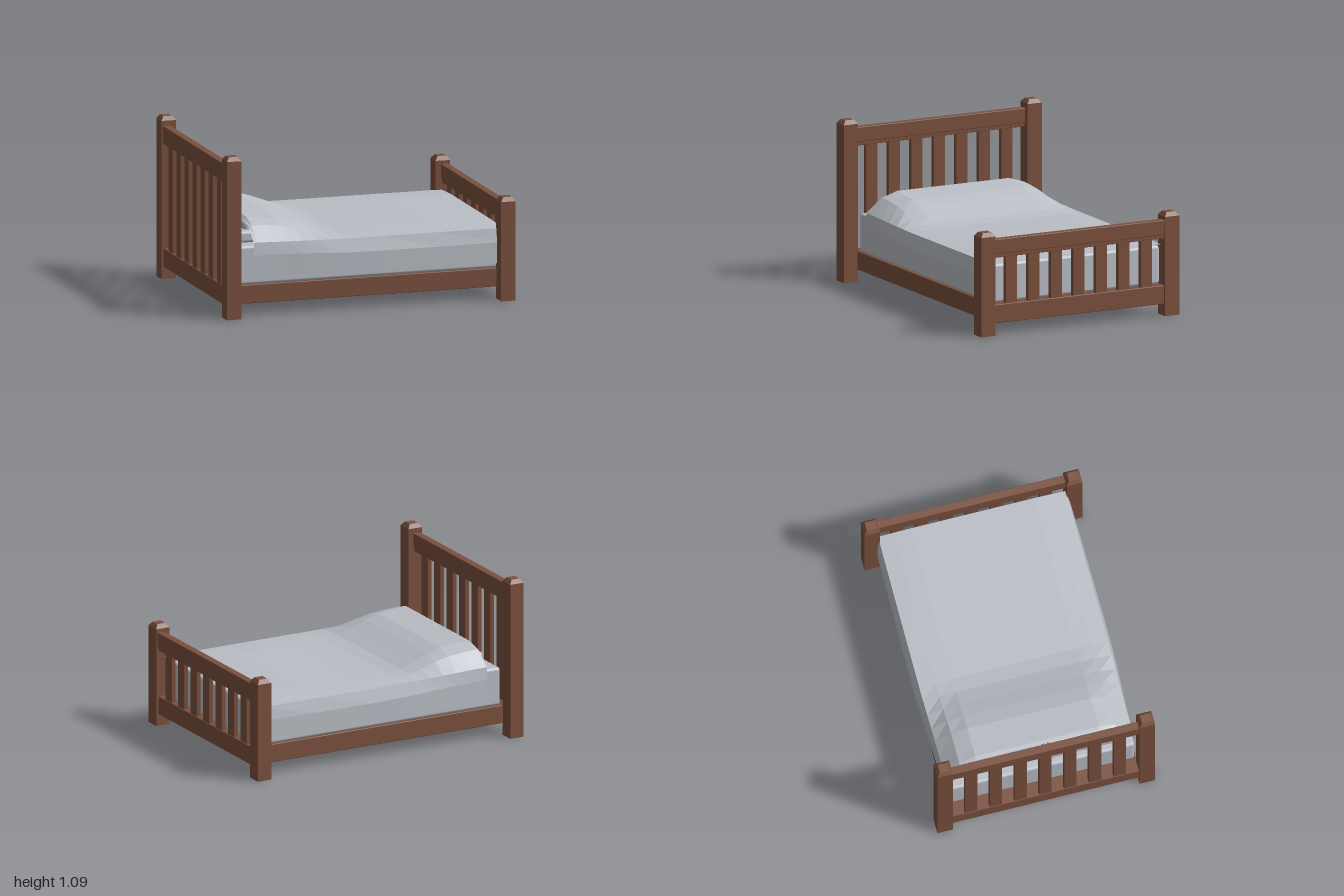
import * as THREE from 'three';
import { RoundedBoxGeometry } from 'three/addons/geometries/RoundedBoxGeometry.js';

const wood = new THREE.MeshStandardMaterial({ color: 0x7a503d });
wood.name = 'brown wood';
const linen = new THREE.MeshStandardMaterial({ color: 0xbabec5, side: THREE.DoubleSide });
linen.name = 'grey linen';

function add(parent, name, geometry, material) {
  const mesh = new THREE.Mesh(geometry, material);
  mesh.name = name;
  parent.add(mesh);
  return mesh;
}

// Softly bevelled box given by its extents
function block(parent, name, material, [x0, x1], [y0, y1], [z0, z1], radius = 0.005, segments = 1) {
  const geometry = new RoundedBoxGeometry(x1 - x0, y1 - y0, z1 - z0, segments, radius);
  const mesh = add(parent, name, geometry, material);
  mesh.position.set((x0 + x1) / 2, (y0 + y1) / 2, (z0 + z1) / 2);
  return mesh;
}

function flat(geometry) {
  const g = geometry.toNonIndexed();
  g.computeVertexNormals();
  return g;
}

// Square post with a chamfered top
function post(parent, x, z, height) {
  const g = new THREE.BoxGeometry(0.1, height, 0.106, 1, 2, 1);
  g.translate(0, height / 2, 0);
  const p = g.attributes.position;
  for (let i = 0; i < p.count; i++) {
    const y = p.getY(i);
    if (y > height - 0.001) {
      p.setX(i, p.getX(i) * 0.6);
      p.setZ(i, p.getZ(i) * 0.6);
    } else if (y > 0.001) p.setY(i, height - 0.027);
  }
  add(parent, 'post', flat(g), wood).position.set(x, 0, z);
}

// Posts, top rail and slats of one end; side is -1 at the head, 1 at the foot
function endPanel(name, side, postHeight, railBottom, railTop) {
  const panel = new THREE.Group();
  panel.name = name;
  const span = (a, b) => (side > 0 ? [a, b] : [-b, -a]);
  for (const z of [-0.687, 0.687]) post(panel, side * 0.95, z, postHeight);
  block(panel, 'topRail', wood, span(0.937, 0.99), [railBottom + 0.025, railTop], [-0.64, 0.64]);
  block(panel, 'lowerRailStrip', wood, span(0.943, 0.984), [railBottom, railBottom + 0.03], [-0.64, 0.64], 0.003);
  for (let i = -3; i <= 3; i++) {
    const z = i * 0.1685;
    block(panel, 'slat', wood, span(0.948, 0.98), [0.19, railBottom + 0.01], [z - 0.043, z + 0.043], 0.004);
  }
  return panel;
}

// Draped blanket lofted from cross-sections running head to foot
function blanketGeometry() {
  // x, top, slope (z 0.52), shoulder, side, hem heights, bulge of the side
  const sections = [
    [-0.78, 0.6, 0.575, 0.485, 0.4, 0.275, 0],
    [-0.76, 0.616, 0.58, 0.485, 0.4, 0.274, 0],
    [-0.66, 0.606, 0.575, 0.483, 0.4, 0.268, 0.002],
    [-0.55, 0.598, 0.565, 0.48, 0.398, 0.262, 0.005],
    [-0.45, 0.568, 0.545, 0.478, 0.396, 0.258, 0.01],
    [-0.35, 0.53, 0.512, 0.476, 0.392, 0.254, 0.014],
    [-0.25, 0.495, 0.488, 0.474, 0.388, 0.25, 0.018],
    [-0.15, 0.482, 0.48, 0.473, 0.384, 0.246, 0.02],
    [0.1, 0.482, 0.479, 0.473, 0.38, 0.242, 0.02],
    [0.5, 0.486, 0.481, 0.473, 0.38, 0.24, 0.015],
    [0.94, 0.483, 0.479, 0.472, 0.38, 0.24, 0.008],
  ];
  const positions = [];
  const index = [];
  const columns = 11;
  sections.forEach(([x, top, slope, shoulder, side, hem, bulge], i) => {
    const half = [
      [0.645 + bulge, hem], [0.645 + bulge, side], [0.636 + bulge * 0.3, shoulder],
      [0.53, slope], [0.42, top],
    ];
    const profile = [
      ...half.map(([z, y]) => [-z, y]),
      [0, top],
      ...half.slice().reverse(),
    ];
    profile.forEach(([z, y], j) => {
      positions.push(x, y, z);
      if (i && j) {
        const d = i * columns + j;
        const b = d - columns;
        index.push(b - 1, b, d, b - 1, d, d - 1);
      }
    });
  });
  const g = new THREE.BufferGeometry();
  g.setAttribute('position', new THREE.Float32BufferAttribute(positions, 3));
  g.setIndex(index);
  return flat(g);
}

export function createModel() {
  const bed = new THREE.Group();
  bed.name = 'bed';

  // Wooden frame
  bed.add(endPanel('headboard', -1, 1.09, 0.905, 1.03));
  bed.add(endPanel('footboard', 1, 0.695, 0.52, 0.645));
  block(bed, 'bedBase', wood, [-0.985, 0.985], [0.08, 0.205], [-0.638, 0.638]);

  // Bedding
  block(bed, 'mattress', linen, [-0.89, 0.935], [0.205, 0.465], [-0.63, 0.63], 0.02, 2);
  for (const [z0, z1, x0] of [[-0.5, -0.01, -0.835], [0.035, 0.525, -0.847]]) {
    const pillow = new THREE.Group();
    pillow.name = 'pillow';
    block(pillow, 'pillowLower', linen, [x0, -0.5], [0.462, 0.542], [z0, z1], 0.022, 2);
    block(pillow, 'pillowUpper', linen, [x0 + 0.055, -0.56], [0.5, 0.592], [z0 + 0.03, Math.min(z1 - 0.03, 0.47)], 0.025, 2);
    bed.add(pillow);
  }
  add(bed, 'blanket', blanketGeometry(), linen);

  return bed;
}
